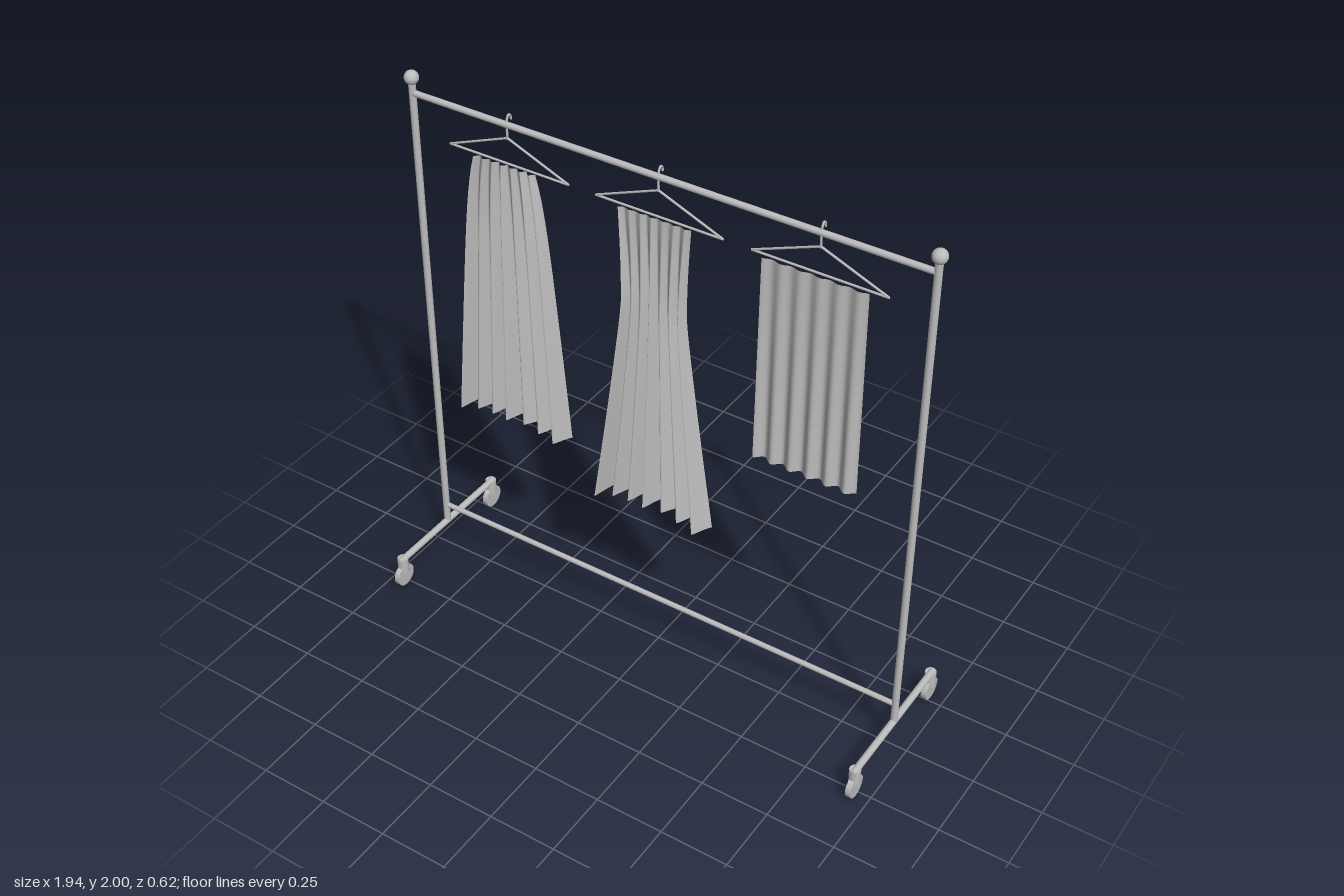
import * as THREE from 'three';

const steel = new THREE.MeshStandardMaterial({ color: 0xbcbcbc, side: THREE.DoubleSide });
steel.name = 'light grey';

function add(parent, name, geometry, x = 0, y = 0, z = 0) {
  const mesh = new THREE.Mesh(geometry, steel);
  mesh.name = name;
  mesh.position.set(x, y, z);
  parent.add(mesh);
  return mesh;
}

// Round bar between two points
function bar(parent, name, a, b, radius, sides = 16) {
  const from = new THREE.Vector3(...a), to = new THREE.Vector3(...b);
  const dir = to.clone().sub(from);
  const mesh = add(parent, name, new THREE.CylinderGeometry(radius, radius, dir.length(), sides));
  mesh.position.copy(from).addScaledVector(dir, 0.5);
  mesh.quaternion.setFromUnitVectors(new THREE.Vector3(0, 1, 0), dir.normalize());
  return mesh;
}

// Wire hanger with its hook curling over the rail
function hanger(x) {
  const group = new THREE.Group();
  group.name = 'hanger';
  const left = [-0.233, 1.778, 0], right = [0.233, 1.778, 0], apex = [0, 1.872, 0];
  bar(group, 'hangerArm', left, apex, 0.004, 8);
  bar(group, 'hangerArm', right, apex, 0.004, 8);
  bar(group, 'hangerBar', left, right, 0.004, 8);
  const hook = new THREE.CatmullRomCurve3([
    [0, 1.868, 0], [0, 1.91, 0], [0, 1.938, -0.002], [0, 1.951, -0.011], [0, 1.945, -0.02], [0, 1.93, -0.023],
  ].map(p => new THREE.Vector3(...p)));
  add(group, 'hook', new THREE.TubeGeometry(hook, 24, 0.004, 8));
  group.position.x = x;
  return group;
}

// Hanging sheet: half width, depth of folds and height follow simple rules
function garment(name, x, { top, bottom, lift, folds, halfWidth, depth, centre, sharp, columns }) {
  const rows = 24;
  const geometry = new THREE.PlaneGeometry(1, 1, columns, rows);
  const pos = geometry.attributes.position;
  for (let i = 0; i < pos.count; i++) {
    const u = pos.getX(i) + 0.5, t = 0.5 - pos.getY(i), s = 2 * u - 1;
    const phase = 2 * Math.PI * folds * u;
    const wave = sharp ? Math.asin(0.97 * Math.cos(phase)) / 1.33 : Math.cos(phase);
    const uneven = sharp ? 0.8 + 0.2 * Math.cos(7 * s + 1) : 1;
    const hem = bottom + lift * (1 - s * s);
    pos.setXYZ(i, s * halfWidth(t), top + (hem - top) * t, centre(t) + depth(t) * wave * uneven);
  }
  geometry.computeVertexNormals();
  const mesh = new THREE.Mesh(geometry, steel);
  mesh.name = name;
  mesh.position.x = x;
  return mesh;
}

export function createModel() {
  const model = new THREE.Group();
  model.name = 'clothesRack';

  // Frame
  bar(model, 'topRail', [-0.943, 1.92, 0], [0.943, 1.92, 0], 0.011);
  bar(model, 'lowerRail', [-0.943, 0.19, 0], [0.943, 0.19, 0], 0.0095);
  for (const x of [-0.943, 0.943]) {
    bar(model, 'post', [x, 0.11, 0], [x, 1.97, 0], 0.0125);
    add(model, 'finial', new THREE.SphereGeometry(0.025, 24, 16), x, 1.975, 0);
    bar(model, 'foot', [x, 0.112, -0.285], [x, 0.112, 0.285], 0.0125);

    // Casters
    for (const z of [-0.268, 0.268]) {
      add(model, 'casterHousing', new THREE.CylinderGeometry(0.02, 0.02, 0.062, 16), x, 0.09, z);
      bar(model, 'wheel', [x - 0.01, 0.043, z], [x + 0.01, 0.043, z], 0.043, 28);
    }
  }

  // Hangers
  for (const x of [-0.568, 0, 0.565]) model.add(hanger(x));

  // Garments
  model.add(garment('skirt', -0.568, {
    top: 1.785, bottom: 0.755, lift: 0.027, folds: 6.5, sharp: true, columns: 104,
    halfWidth: t => 0.117 + 0.075 * t + 0.02 * (1 - Math.exp(-9 * t)),
    depth: t => 0.008 + 0.034 * Math.pow(t, 0.8),
    centre: t => 0.024 + 0.003 * t,
  }));
  model.add(garment('dress', 0, {
    top: 1.785, bottom: 0.618, lift: 0.037, folds: 6.5, sharp: true, columns: 104,
    halfWidth: t => t < 0.3 ? 0.132 - 0.017 * Math.sin(t / 0.3 * Math.PI / 2)
      : 0.115 + 0.097 * Math.pow((t - 0.3) / 0.7, 1.1),
    depth: t => 0.004 + 0.042 * t,
    centre: t => 0.024 + 0.007 * t,
  }));
  model.add(garment('towel', 0.565, {
    top: 1.785, bottom: 1.028, lift: 0, folds: 5.5, sharp: false, columns: 88,
    halfWidth: t => 0.18 + 0.003 * t,
    depth: t => 0.004 + 0.007 * t,
    centre: () => 0.027,
  }));
  return model;
}
